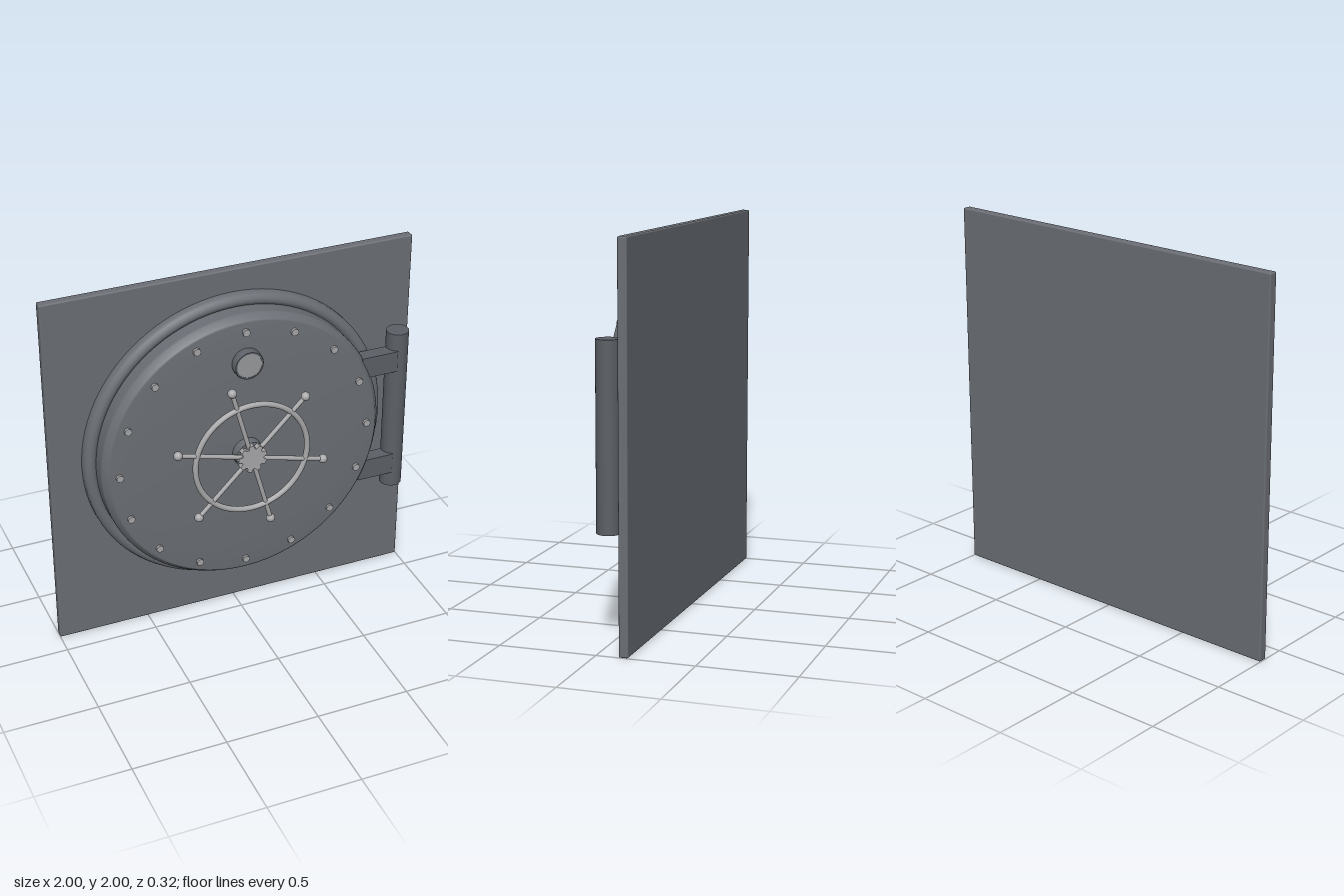
import * as THREE from 'three';
import { RoundedBoxGeometry } from 'three/addons/geometries/RoundedBoxGeometry.js';
import { toCreasedNormals } from 'three/addons/utils/BufferGeometryUtils.js';

const flat = (name, color) => {
  const m = new THREE.MeshStandardMaterial({ color });
  m.name = name;
  return m;
};

export function createModel() {
  const steel = flat('door steel', 0x6b6f75);
  const darkSteel = flat('hinge steel', 0x5c6066);
  const chrome = flat('bright metal', 0xa8a8aa);
  const glass = flat('porthole metal', 0x98999c);

  const model = new THREE.Group();
  model.name = 'vaultDoor';

  const add = (parent, name, geometry, material, x = 0, y = 0, z = 0) => {
    const mesh = new THREE.Mesh(geometry, material);
    mesh.name = name;
    mesh.position.set(x, y, z);
    parent.add(mesh);
    return mesh;
  };
  // Revolved profile of [radius, z] pairs, listed from back to front
  const turned = (profile) => new THREE.LatheGeometry(
    profile.map(([r, z]) => new THREE.Vector2(r, z)), 96).rotateX(Math.PI / 2);
  // Cylinder along z between two depths
  const disc = (r, z0, z1, sides = 40) => new THREE.CylinderGeometry(r, r, z1 - z0, sides)
    .rotateX(Math.PI / 2).translate(0, 0, (z0 + z1) / 2);

  // Wall plate
  add(model, 'wallPlate', new RoundedBoxGeometry(2, 2, 0.048, 2, 0.008), steel, 0, 1, -0.139);

  const door = new THREE.Group();
  door.name = 'roundDoor';
  door.position.y = 1.045;
  model.add(door);

  // Frame ring and shallow domed door
  add(door, 'frameRing', toCreasedNormals(turned([
    [0.83, -0.12], [0.83, -0.085], [0.822, -0.068], [0.808, -0.057], [0.79, -0.053], [0.776, -0.06], [0.76, -0.075],
  ]), 0.7), steel);
  add(door, 'doorSlab', turned([
    [0.77, -0.12], [0.77, 0.005], [0.768, 0.018], [0.745, 0.05], [0.735, 0.053],
    [0.62, 0.062], [0.4, 0.069], [0.2, 0.071], [0, 0.072],
  ]), steel);

  // Ring of bolts
  for (let i = 0; i < 16; i++) {
    const a = (i * Math.PI) / 8;
    add(door, 'bolt', disc(0.02, 0.045, 0.071, 8), chrome, 0.688 * Math.cos(a), 0.688 * Math.sin(a));
  }

  // Porthole with dark rim
  const porthole = new THREE.Group();
  porthole.name = 'porthole';
  porthole.position.y = 0.522;
  door.add(porthole);
  add(porthole, 'portholeRim', toCreasedNormals(turned([
    [0.079, 0.05], [0.079, 0.1], [0.075, 0.108], [0.067, 0.108], [0.066, 0.1],
  ]), 0.6), darkSteel);
  add(porthole, 'portholeCover', disc(0.067, 0.06, 0.106), glass);

  // Hand wheel
  const wheel = new THREE.Group();
  wheel.name = 'handWheel';
  wheel.position.z = 0.138;
  door.add(wheel);
  add(wheel, 'wheelRim', new THREE.TorusGeometry(0.31, 0.015, 12, 72), chrome);
  add(wheel, 'hubShaft', disc(0.08, -0.075, -0.013), steel);
  for (let i = 0; i < 6; i++) {
    const spoke = new THREE.Group();
    spoke.name = 'spoke';
    spoke.rotation.z = Math.PI / 4 + (i * Math.PI) / 3;
    wheel.add(spoke);
    add(spoke, 'spokeBar', new THREE.CylinderGeometry(0.012, 0.012, 0.41, 12).rotateZ(Math.PI / 2), chrome, 0.205);
    add(spoke, 'spokeKnob', new THREE.SphereGeometry(0.024, 16, 12), chrome, 0.417);
  }
  // Toothed hub
  const gear = new THREE.Shape();
  const teeth = 9;
  for (let i = 0; i < teeth; i++) {
    [[0, 0.06], [0.2, 0.079], [0.6, 0.079], [0.8, 0.06]].forEach(([t, r], k) => {
      const a = ((i + t) / teeth) * Math.PI * 2;
      gear[i + k ? 'lineTo' : 'moveTo'](r * Math.cos(a), r * Math.sin(a));
    });
  }
  add(wheel, 'hubGear', new THREE.ExtrudeGeometry(gear, { depth: 0.032, bevelEnabled: false }), chrome, 0, 0, -0.014);

  // Hinge post and two brackets
  const hinge = new THREE.Group();
  hinge.name = 'hinge';
  model.add(hinge);
  add(hinge, 'hingePost', new THREE.CylinderGeometry(0.06, 0.06, 0.935, 32), darkSteel, 0.895, 1.045, -0.03);
  for (const y of [1.359, 0.727]) {
    add(hinge, 'hingeBracket', new THREE.BoxGeometry(0.205, 0.118, 0.078), darkSteel, 0.77, y, -0.006);
  }
  return model;
}
